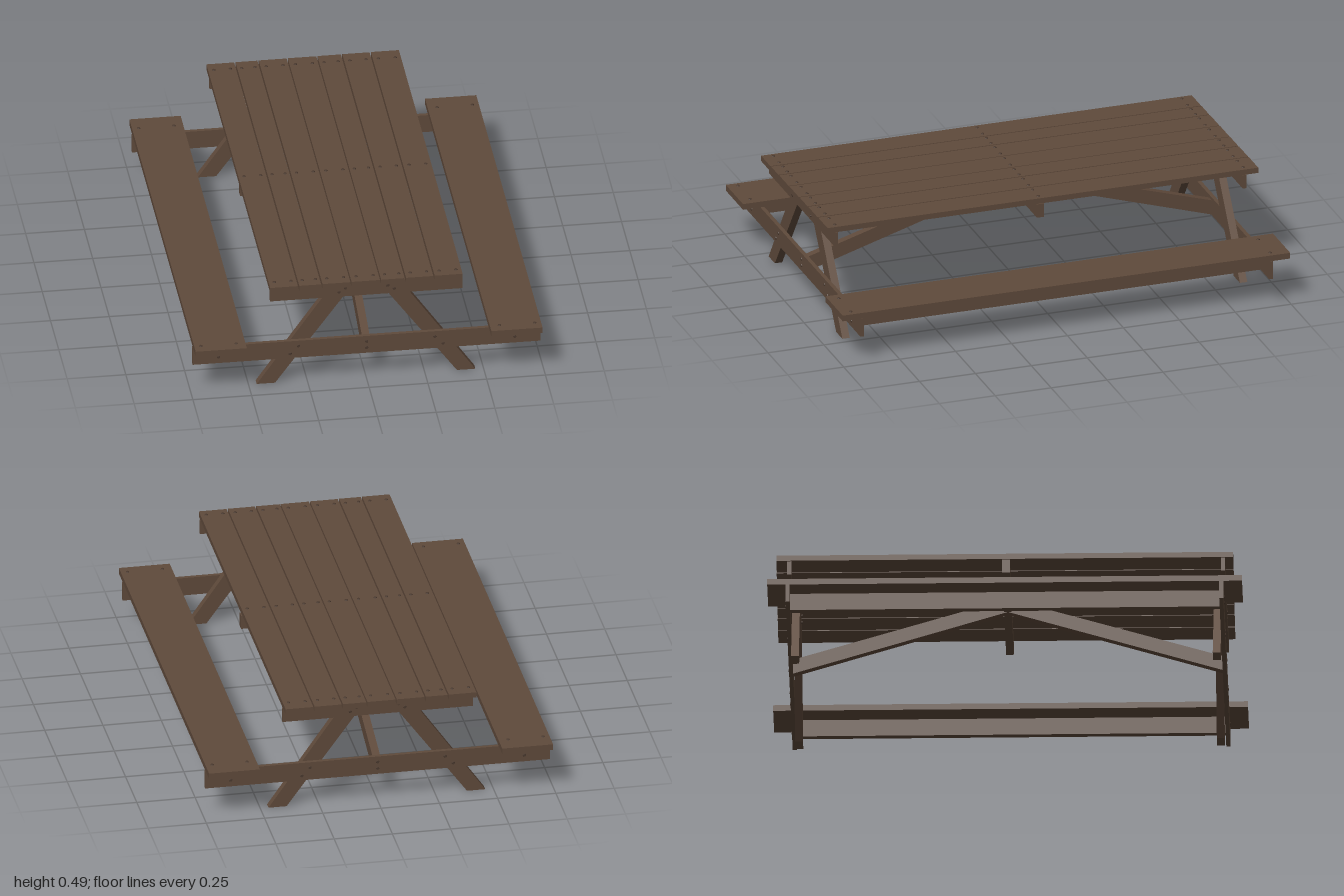
import * as THREE from 'three';

export function createModel() {
  const table = new THREE.Group();
  table.name = 'picnicTable';
  const wood = new THREE.MeshStandardMaterial({ color: 0x5f4a3b });
  wood.name = 'brown wood';
  const metal = new THREE.MeshStandardMaterial({ color: 0x4a392e });
  metal.name = 'dark screws';

  // Board given by its extents on each axis
  function board(name, x0, x1, y0, y1, z0, z1) {
    const m = new THREE.Mesh(new THREE.BoxGeometry(x1 - x0, y1 - y0, z1 - z0), wood);
    m.position.set((x0 + x1) / 2, (y0 + y1) / 2, (z0 + z1) / 2);
    m.name = name;
    table.add(m);
    return m;
  }

  // Board cut from a flat outline, centred on its thickness
  function cutBoard(name, outline, thickness) {
    const shape = new THREE.Shape(outline.map(([a, b]) => new THREE.Vector2(a, b)));
    const geo = new THREE.ExtrudeGeometry(shape, { depth: thickness, bevelEnabled: false });
    geo.translate(0, 0, -thickness / 2);
    const m = new THREE.Mesh(geo, wood);
    m.name = name;
    table.add(m);
    return m;
  }

  // Low round fastener head; axis is 'y' or 'z'
  const headGeo = new THREE.CylinderGeometry(0.006, 0.008, 0.005, 8);
  function head(name, x, y, z, axis) {
    const m = new THREE.Mesh(headGeo, metal);
    m.position.set(x, y, z);
    if (axis === 'z') m.rotation.x = Math.sign(z) * Math.PI / 2;
    m.name = name;
    table.add(m);
  }

  // Table top: seven planks of uneven width, with screws over each cleat
  const planks = [[-0.415, -0.297], [-0.291, -0.198], [-0.192, -0.073], [-0.068, 0.053],
    [0.058, 0.158], [0.164, 0.28], [0.286, 0.405]];
  planks.forEach(([a, b], i) => {
    const shift = i * 0.0012;
    board('topPlank', a, b, 0.466, 0.49, -0.968 - shift, 0.957 - shift);
    for (const z of [-0.915, 0, 0.91])
      for (const t of [0.2, 0.8]) head('topScrew', a + (b - a) * t, 0.491, z, 'y');
  });

  // Middle cleat under the top
  board('middleCleat', -0.41, 0.41, 0.405, 0.466, -0.016, 0.016);

  for (const s of [-1, 1]) {
    const zs = (a, b) => (s > 0 ? [a, b] : [-b, -a]);

    // End frame: top cleat, seat beam and two splayed legs
    board('endCleat', -0.41, 0.408, 0.405, 0.466, ...zs(0.905, 0.922));
    board('seatBeam', -0.74, 0.74, 0.124, 0.205, ...zs(0.905, 0.922));
    for (const side of [-1, 1]) {
      const leg = cutBoard('leg', [[0.387, 0], [0.465, 0], [0.137, 0.466], [0.045, 0.466]]
        .map(([x, y]) => [x * side, y]), 0.033);
      leg.position.z = s * 0.8885;

      // Bolts through the beam and cleat
      for (const [x, y] of [[0.29, 0.18], [0.325, 0.145], [0.63, 0.18], [0.63, 0.153],
        [0.09, 0.445], [0.117, 0.427]]) head('bolt', x * side, y, s * 0.923, 'z');
      for (const [x, y] of [[0.09, 0.445], [0.117, 0.427]])
        head('bolt', x * side, y, s * 0.87, 'z');
    }
    for (const y of [0.18, 0.15]) head('bolt', 0, y, s * 0.923, 'z');

    // Diagonal brace from the seat beam up to the middle cleat
    const brace = cutBoard('brace', [[0, 0.405], [0, 0.466], [0.905, 0.192], [0.905, 0.127]], 0.033);
    brace.rotation.y = -s * Math.PI / 2;

    // Bench seat on a lengthwise rail between the beams
    const [x0, x1] = s > 0 ? [0.52, 0.738] : [-0.738, -0.52];
    board('seat', x0, x1, 0.205, 0.231, -1, 1);
    board('seatRail', s * 0.63 - 0.014, s * 0.63 + 0.014, 0.13, 0.205, -0.905, 0.905);
    for (const z of [-0.92, 0.955])
      for (const x of [0.56, 0.71]) head('seatScrew', s * x, 0.232, z, 'y');
  }
  return table;
}
